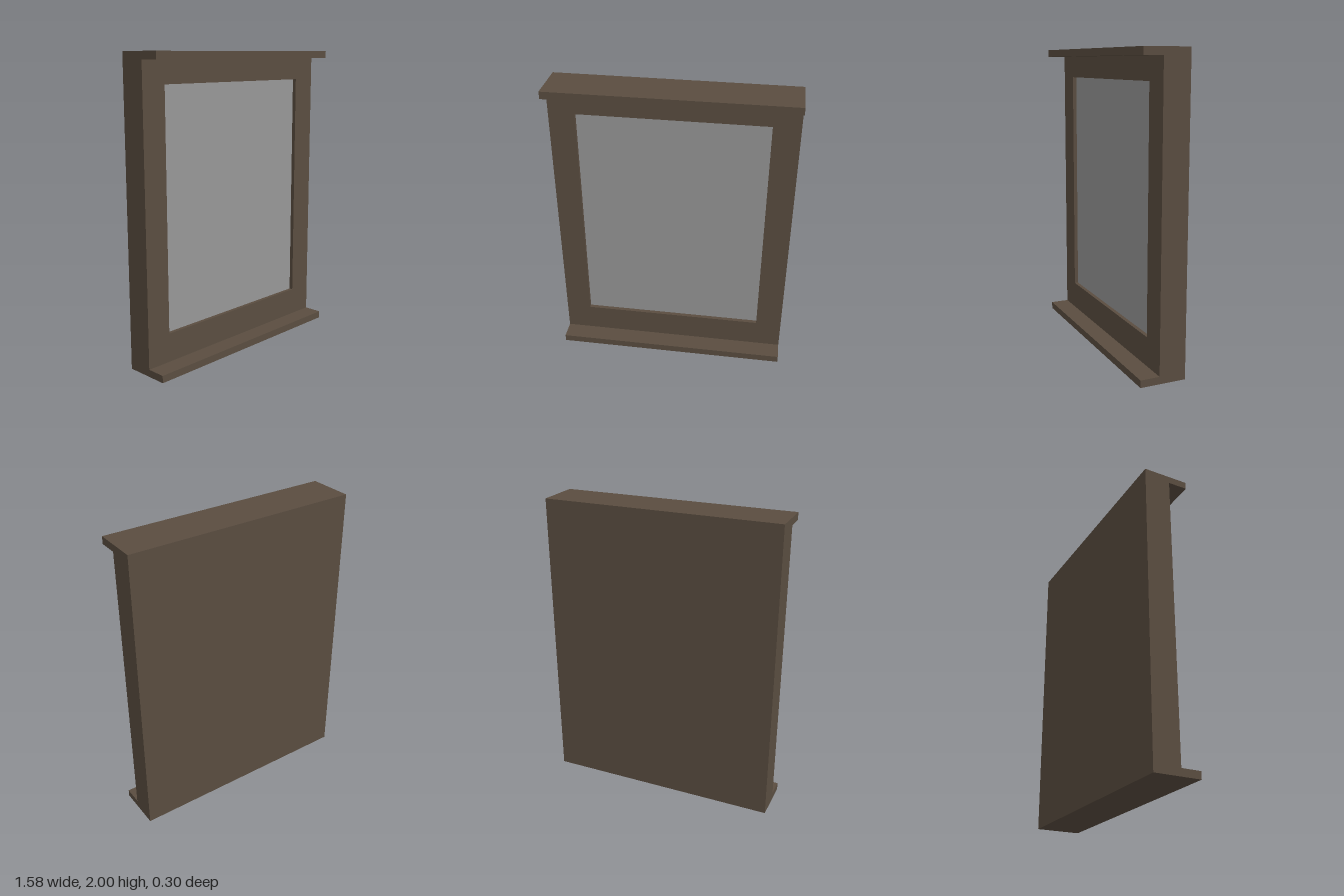
import * as THREE from 'three';

const WIDTH = 1.575, HEIGHT = 2, BACK = -0.152, FACE = 0.024, FRONT = 0.152;
const RECESS = 0.03, LEDGE = 0.048;
const OPENING = { left: -0.617, right: 0.613, bottom: 0.238, top: 1.805 };

export function createModel() {
  const wood = new THREE.MeshStandardMaterial({ color: 0x5a4d40 });
  wood.name = 'dark wood';
  const glass = new THREE.MeshStandardMaterial({ color: 0x979797 });
  glass.name = 'grey glass';

  const model = new THREE.Group();
  model.name = 'windowPanel';

  function add(name, geometry, material, x, y, z) {
    const mesh = new THREE.Mesh(geometry, material);
    mesh.name = name;
    mesh.position.set(x, y, z);
    model.add(mesh);
  }

  // Solid backing behind the recess
  const floor = FACE - RECESS;
  add('backPanel', new THREE.BoxGeometry(WIDTH, HEIGHT, floor - BACK), wood,
    0, HEIGHT / 2, (floor + BACK) / 2);

  // Front frame with a rectangular opening
  const { left, right, bottom, top } = OPENING;
  const w = WIDTH / 2;
  const outline = new THREE.Shape([
    new THREE.Vector2(-w, 0), new THREE.Vector2(w, 0),
    new THREE.Vector2(w, HEIGHT), new THREE.Vector2(-w, HEIGHT),
  ]);
  outline.holes.push(new THREE.Path([
    new THREE.Vector2(left, bottom), new THREE.Vector2(left, top),
    new THREE.Vector2(right, top), new THREE.Vector2(right, bottom),
  ]));
  add('frame', new THREE.ExtrudeGeometry(outline, { depth: RECESS, bevelEnabled: false }),
    wood, 0, 0, floor);

  // Pane set into the opening
  add('pane', new THREE.BoxGeometry(right - left, top - bottom, 0.004), glass,
    (left + right) / 2, (bottom + top) / 2, floor + 0.002);

  // Projecting ledges along the top and bottom edges
  for (const [name, y] of [['bottomLedge', LEDGE / 2], ['topLedge', HEIGHT - LEDGE / 2]]) {
    add(name, new THREE.BoxGeometry(WIDTH, LEDGE, FRONT - FACE), wood, 0, y, (FRONT + FACE) / 2);
  }

  return model;
}
